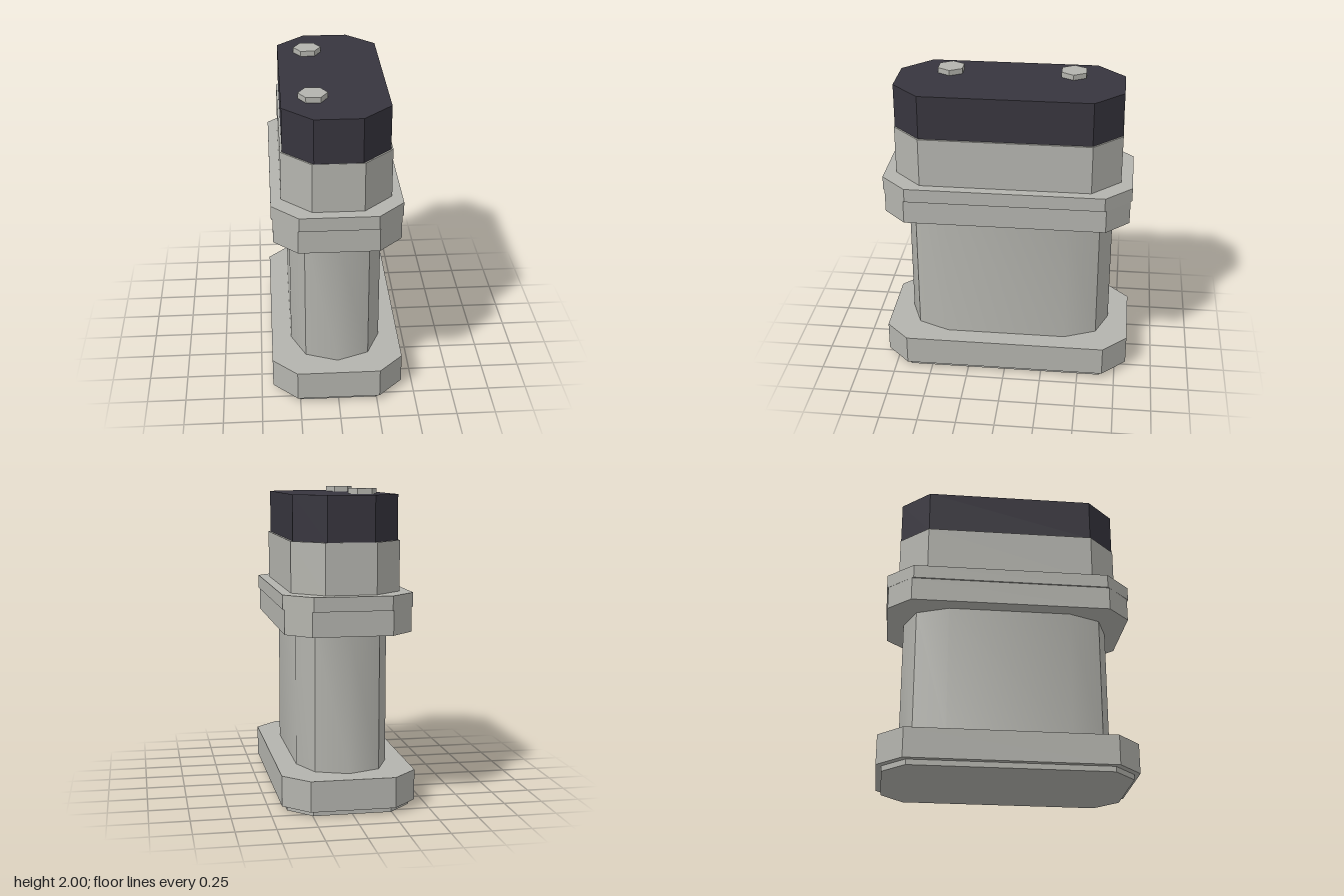
import * as THREE from 'three';
import { toCreasedNormals } from 'three/addons/utils/BufferGeometryUtils.js';

export function createModel() {
  const group = new THREE.Group();
  const grey = new THREE.MeshStandardMaterial({ name: 'light grey', color: 0xb4b4ae });
  const dark = new THREE.MeshStandardMaterial({ name: 'dark charcoal', color: 0x37353e });

  const add = (name, geometry, material) => {
    const mesh = new THREE.Mesh(geometry, material);
    mesh.name = name;
    group.add(mesh);
    return mesh;
  };

  // Upright prism from an outline in x and z
  const prism = (points, y0, y1) => {
    const shape = new THREE.Shape(points.map(([x, z]) => new THREE.Vector2(x, z)));
    const geometry = new THREE.ExtrudeGeometry(shape, { depth: y1 - y0, bevelEnabled: false });
    return geometry.rotateX(-Math.PI / 2).translate(0, y0, 0);
  };

  // Octagon: half width, half depth, then where the cut corners begin
  const octagon = (hx, hz, cx, cz) => [
    [hx, -cz], [hx, cz], [cx, hz], [-cx, hz],
    [-hx, cz], [-hx, -cz], [-cx, -hz], [cx, -hz],
  ];

  // Stacked plates: name, bottom, top, outline, material
  const tiers = [
    ['foot', 0, 0.035, [0.39, 0.79, 0.245, 0.645], grey],
    ['base', 0.035, 0.23, [0.425, 0.825, 0.267, 0.667], grey],
    ['lowerCollar', 1.115, 1.27, [0.4, 0.8, 0.25, 0.65], grey],
    ['upperCollar', 1.27, 1.36, [0.41, 0.81, 0.243, 0.64], grey],
    ['head', 1.36, 1.68, [0.345, 0.735, 0.16, 0.55], grey],
    ['cap', 1.68, 1.965, [0.332, 0.732, 0.148, 0.548], dark],
  ];
  for (const [name, y0, y1, outline, material] of tiers) {
    add(name, prism(octagon(...outline), y0, y1), material);
  }

  // Shaft with softly bowed sides and ends, sharp at its four corners
  const shaftOutline = [
    [0.295, -0.4], [0.295, 0.4], [0.205, 0.61], [0, 0.69], [-0.205, 0.61],
    [-0.295, 0.4], [-0.295, -0.4], [-0.205, -0.61], [0, -0.69], [0.205, -0.61],
  ];
  const shaft = prism(shaftOutline, 0.23, 1.115);
  add('shaft', toCreasedNormals(shaft, THREE.MathUtils.degToRad(44)), grey);

  // Hexagonal bolts on the cap
  for (const [name, z] of [['frontBolt', 0.4], ['backBolt', -0.4]]) {
    const geometry = new THREE.CylinderGeometry(0.092, 0.092, 0.035, 6).rotateY(Math.PI / 6);
    const bolt = add(name, toCreasedNormals(geometry, 0.3), grey);
    bolt.position.set(-0.135, 1.9825, z);
  }

  return group;
}
